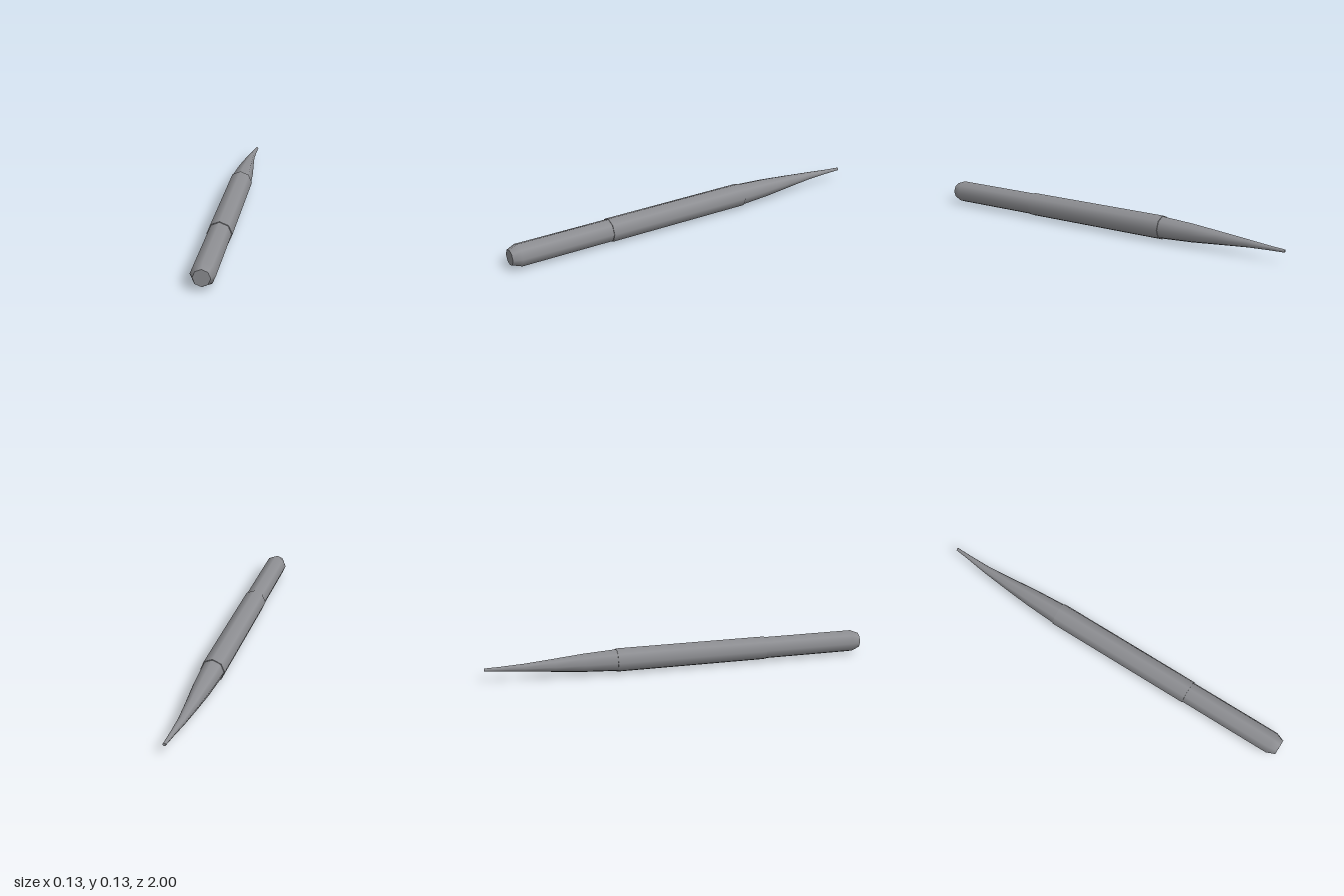
import * as THREE from 'three';

const SIDES = 8;
const AXIS_Y = 0.063; // height of the long axis

export function createModel() {
  const group = new THREE.Group();
  const grey = new THREE.MeshStandardMaterial({ color: 0x8e8f93 });
  grey.name = 'grey';

  // Turns a profile of [radius, z] points (z ascending) around the long axis,
  // then shifts each ring sideways by bend(z).
  function turn(name, profile, bend = () => 0) {
    const geometry = new THREE.LatheGeometry(
      profile.map(([r, z]) => new THREE.Vector2(r, z)), SIDES);
    geometry.rotateX(Math.PI / 2);
    // the rotation reverses the angle only, so faces keep pointing outward
    const p = geometry.attributes.position;
    for (let i = 0; i < p.count; i++) p.setX(i, p.getX(i) + bend(p.getZ(i)));
    const mesh = new THREE.Mesh(geometry, grey);
    mesh.name = name;
    mesh.position.y = AXIS_Y;
    group.add(mesh);
  }

  // the point leans towards +x near its end
  const lean = (z) => 0.016 * Math.max(0, (-0.77 - z) / 0.23);

  // handle with a bevelled butt
  turn('handle', [[0.059, 0.46], [0.059, 0.955], [0.041, 1]]);
  turn('handleEnd', [[0.041, 1], [0, 1]]);

  // slightly wider sleeve with a small step at both ends
  turn('sleeve', [[0.063, -0.33], [0.063, 0.465]]);
  turn('sleeveFrontStep', [[0.063, 0.465], [0.055, 0.465]]);
  turn('sleeveBackStep', [[0.055, -0.33], [0.063, -0.33]]);

  // tapering bent point
  turn('point', [
    [0.008, -1], [0.012, -0.92], [0.021, -0.8], [0.035, -0.65],
    [0.049, -0.5], [0.059, -0.325],
  ], lean);
  turn('pointEnd', [[0, -1], [0.008, -1]], lean);

  return group;
}
